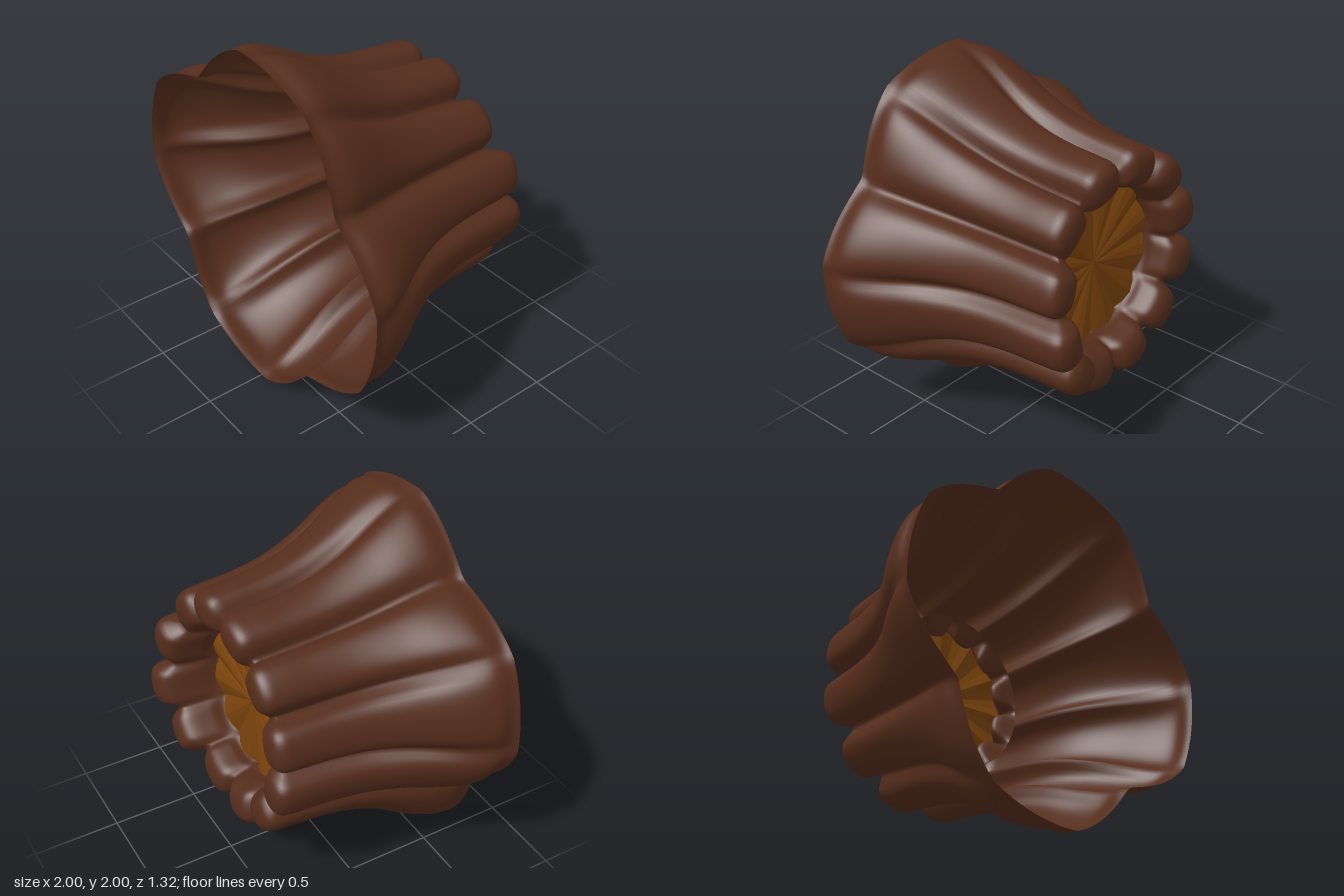
import * as THREE from 'three';

const DEG = Math.PI / 180;
const LOBES = 12;

// Profile from the flared rim, round the lobed back lip, to the inner edge.
// [z, radius, flute depth, petal weight, valley setback in z, extension weight]
const PROFILE = [
  [0.66, 1.0, 0.0, 1, 0, 0],
  [0.62, 0.994, 0.015, 0.98, 0, 0],
  [0.53, 0.998, 0.045, 0.89, 0, 0],
  [0.4, 0.945, 0.07, 0.74, 0, 0],
  [0.2, 0.83, 0.09, 0.47, 0, 0],
  [0.0, 0.745, 0.1, 0.22, 0, 0],
  [-0.2, 0.7, 0.105, 0.06, 0, 0.15],
  [-0.4, 0.682, 0.115, 0, 0.02, 0.7],
  [-0.49, 0.668, 0.11, 0, 0.05, 0.95],
  [-0.53, 0.62, 0.08, 0, 0.075, 1],
  [-0.53, 0.53, 0.02, 0, 0.075, 1],
  [-0.49, 0.468, -0.02, 0, 0.05, 0.85],
  [-0.4, 0.445, -0.02, 0, 0.02, 0.3],
  [-0.32, 0.44, -0.005, 0, 0, 0],
  [-0.24, 0.335, -0.11, 0, 0, 0],
  [-0.17, 0.44, 0, 0, 0, 0],
];

const spline = (a) => new THREE.CatmullRomCurve3(
  PROFILE.map((p) => new THREE.Vector3(p[a], p[a + 1], p[a + 2])), false, 'catmullrom', 0.5);

// Four broad petals at the rim
function petal(angle) {
  const q = (1 + Math.cos(4 * (angle + 13 * DEG))) / 2;
  return Math.min(1, 0.82 + 0.22 * Math.pow(q, 0.65));
}

// Blunt-topped lobes with rounded grooves: 0 on a lobe, 1 in a groove
function groove(angle) {
  const s = Math.sin(angle * LOBES / 2) ** 2;
  return 1 - 1.15 * s / (s + 0.15);
}

// The lobe at -15 degrees and its two neighbours reach further back
function extension(angle) {
  const a = angle + 15 * DEG;
  const d = Math.abs(Math.atan2(Math.sin(a), Math.cos(a))) / DEG;
  const step = THREE.MathUtils.smoothstep;
  return 0.125 - 0.045 * step(d, 9, 21) - 0.08 * step(d, 37, 53);
}

function shellGeometry(rows, cols) {
  const main = spline(0), extra = spline(3);
  const pos = [], index = [];
  for (let i = 0; i <= rows; i++) {
    const a = main.getPoint(i / rows), b = extra.getPoint(i / rows);
    for (let j = 0; j < cols; j++) {
      const angle = (j / cols) * Math.PI * 2;
      const valley = groove(angle);
      const r = a.y * (1 - b.x * (1 - petal(angle))) - a.z * valley;
      const z = a.x + b.y * valley - b.z * extension(angle);
      pos.push(r * Math.cos(angle), r * Math.sin(angle), Math.min(z, 0.66));
      if (i < rows) {
        const k = (j + 1) % cols;
        const p = i * cols + j, q = i * cols + k;
        index.push(p, q, p + cols, q, q + cols, p + cols);
      }
    }
  }
  const g = new THREE.BufferGeometry();
  g.setAttribute('position', new THREE.Float32BufferAttribute(pos, 3));
  g.setIndex(index);
  g.computeVertexNormals();
  return g;
}

// Disc folded into radial pleats
function pleatedDisc(radius, depth) {
  const g = new THREE.CircleGeometry(radius, LOBES * 4);
  const p = g.attributes.position;
  for (let i = 1; i < p.count; i++) {
    const fold = [1, -0.3, -1, -0.3][(i - 1) % 4];
    p.setZ(i, fold * depth);
  }
  return g;
}

export function createModel() {
  const group = new THREE.Group();
  group.name = 'flutedCup';

  const shell = new THREE.Mesh(
    shellGeometry(90, LOBES * 20),
    new THREE.MeshStandardMaterial({ color: 0x552d1c, side: THREE.DoubleSide }));
  shell.name = 'flutedShell';
  shell.position.y = 1;
  group.add(shell);

  const disc = new THREE.Mesh(
    pleatedDisc(0.44, 0.018),
    new THREE.MeshStandardMaterial({ color: 0x7c440c, side: THREE.DoubleSide, flatShading: true }));
  disc.name = 'pleatedDisc';
  disc.position.set(0, 1, -0.325);
  group.add(disc);

  return group;
}
